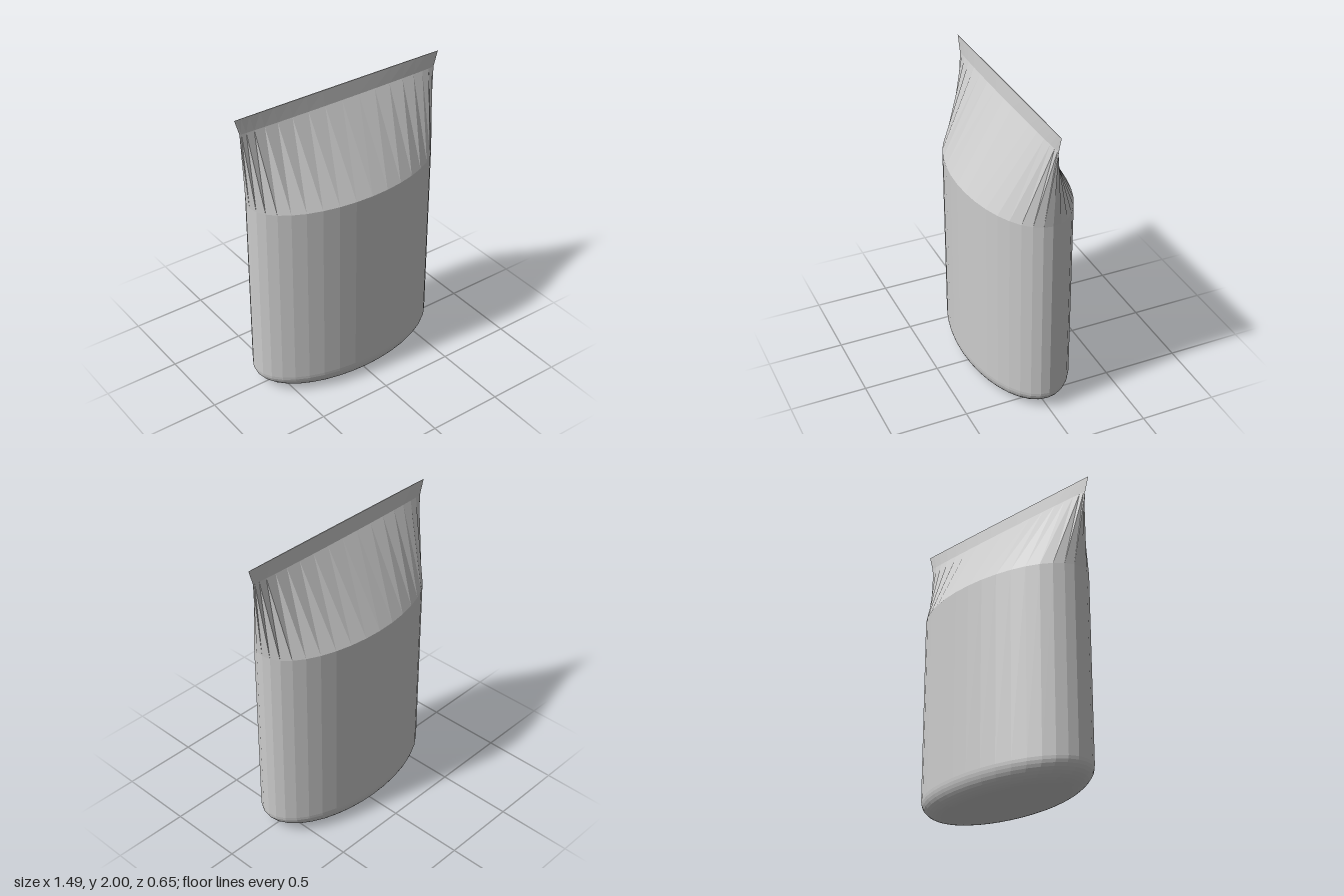
import * as THREE from 'three';

const SIDES = 36;

// Skin through stacked elliptical rings [y, halfWidth, halfDepth], with optional end caps
function loft(name, rings, material, capBottom, capTop) {
  const pos = [], index = [];
  for (const [y, rx, rz] of rings) {
    for (let i = 0; i < SIDES; i++) {
      const a = (i / SIDES) * Math.PI * 2;
      pos.push(rx * Math.cos(a), y, rz * Math.sin(a));
    }
  }
  for (let r = 0; r < rings.length - 1; r++) {
    for (let i = 0; i < SIDES; i++) {
      const j = (i + 1) % SIDES;
      const a = r * SIDES + i, b = r * SIDES + j;
      index.push(a, a + SIDES, b, b, a + SIDES, b + SIDES);
    }
  }
  const last = (rings.length - 1) * SIDES;
  for (let i = 1; i < SIDES - 1; i++) {
    if (capBottom) index.push(0, i, i + 1);
    if (capTop) index.push(last, last + i + 1, last + i);
  }
  const indexed = new THREE.BufferGeometry();
  indexed.setAttribute('position', new THREE.Float32BufferAttribute(pos, 3));
  indexed.setIndex(index);
  // Separate faces keep the facets crisp
  const geometry = indexed.toNonIndexed();
  geometry.computeVertexNormals();
  const mesh = new THREE.Mesh(geometry, material);
  mesh.name = name;
  return mesh;
}

export function createModel() {
  const group = new THREE.Group();
  group.name = 'pouch';
  const grey = new THREE.MeshStandardMaterial({ color: 0xcccccc });
  grey.name = 'grey';

  const W = 0.67, D = 0.327, shoulderY = 1.38, foldY = 1.9;

  // Rounded base: quarter-round that shrinks the oval to a flat foot
  const base = [];
  const STEPS = 10, baseH = 0.13, inset = 0.35;
  for (let k = 0; k <= STEPS; k++) {
    const t = (k / STEPS) * Math.PI / 2;
    const s = 1 - inset * (1 - Math.sin(t));
    base.push([baseH * (1 - Math.cos(t)), W * s, D * s]);
  }
  group.add(loft('roundedBase', base, grey, true, false));

  // Straight oval body
  group.add(loft('body', [[baseH, W, D], [shoulderY, W, D]], grey, false, false));

  // Shoulder pinching to the flat fold
  group.add(loft('shoulder', [[shoulderY, W, D], [foldY, 0.715, 0.015]], grey, false, false));

  // Thin flared seal strip
  group.add(loft('topSeal', [[foldY, 0.715, 0.015], [2, 0.745, 0.003]], grey, false, true));

  return group;
}
